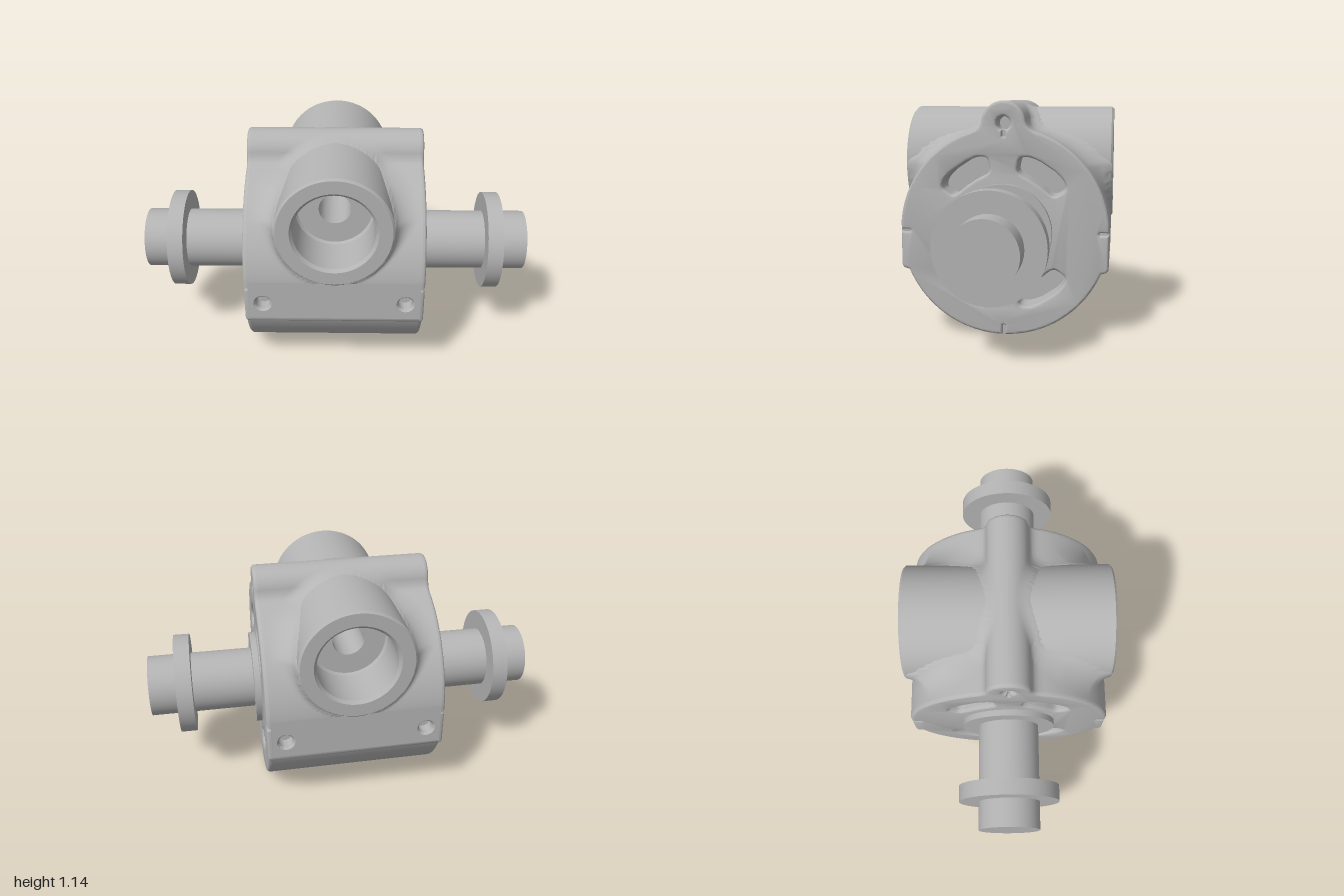
import * as THREE from 'three';
import { toCreasedNormals } from 'three/addons/utils/BufferGeometryUtils.js';

const CY = 0.51, R = 0.51;          // housing axis height and radius
const PY = 0.825, PR = 0.285;       // port axis height and radius
const FLAT = 0.508, Y0 = 0.345, Y1 = 0.55; // side flats
const END = 0.42;                   // where the rounded end caps begin

const metal = new THREE.MeshStandardMaterial({ color: 0xb4b4b4, side: THREE.DoubleSide });
metal.name = 'castMetal';

function mesh(name, geometry) {
  const m = new THREE.Mesh(geometry, metal);
  m.name = name;
  return m;
}

// Arc points in the (z, y) plane, angles in degrees
function arc(cy, r, a0, a1, n) {
  return Array.from({ length: n + 1 }, (_, i) => {
    const a = THREE.MathUtils.degToRad(a0 + ((a1 - a0) * i) / n);
    return [r * Math.cos(a), cy + r * Math.sin(a)];
  });
}
const mirrored = (pts) => pts.map(([z, y]) => [-z, y]).reverse();
const vectors = (pts) => pts.map(([z, y]) => new THREE.Vector2(z, y));

// Half of the housing outline: drum, stepped flat, drum, top lug
const lowerHalf = [...arc(CY, R, -89, -22.5, 34), [0.482, 0.317], [0.498, 0.323], [0.506, 0.333], [FLAT, Y0]];
const upperHalf = [[FLAT, Y1], ...arc(CY, R, 5.5, 71, 44), [0.143, 1.0], [0.124, 1.012], [0.113, 1.028],
  ...arc(1.035, 0.107, 6, 88, 14)];
const outline = [[0, 0], ...lowerHalf, ...upperHalf, [0, 1.142], ...mirrored(upperHalf), ...mirrored(lowerHalf)];

// The same outline with alignment notches at the bottom and both sides
const notch = [[FLAT, 0.504], [0.464, 0.504], [0.46, 0.51], [0.464, 0.516], [FLAT, 0.516]];
const notchedHalf = [[0.006, 0.046], [0.006, 0.0005], ...lowerHalf.slice(1), ...notch, ...upperHalf];
const notchedOutline = [[0, 0.05], ...notchedHalf, [0, 1.142], ...mirrored(notchedHalf)];

// Rounded kidney slot following the drum
function slot(midDeg) {
  const soft = (v) => Math.sign(v) * Math.sqrt(Math.abs(v));
  return Array.from({ length: 40 }, (_, i) => {
    const t = ((i + 0.5) / 40) * Math.PI * 2;
    const a = THREE.MathUtils.degToRad(midDeg + 21.5 * soft(Math.sin(t)));
    const r = 0.337 + 0.05 * soft(Math.cos(t));
    return [r * Math.cos(a), CY + r * Math.sin(a)];
  });
}
const slots = [56.5, 123.5, 236.5, 303.5].map(slot);
const lugHole = arc(1.035, 0.033, 0, 350, 35);
const keyhole = [...arc(1.035, 0.033, -79, 259, 32), [-0.006, 0.974], [0, 0.97], [0.006, 0.974]];

function shapeWith(pts, holes = []) {
  const s = new THREE.Shape(vectors(pts));
  s.holes = holes.map((h) => new THREE.Path(vectors(h)));
  return s;
}

// Sweep (z, y) points along x; warp moves a point, skip drops cells
function sweep(pts, x0, x1, n = 1, warp = null, skip = null) {
  const pos = [], index = [];
  pts.forEach(([z, y]) => {
    for (let j = 0; j <= n; j++) {
      const x = x0 + ((x1 - x0) * j) / n;
      pos.push(x, y, warp ? warp(x, y, z) : z);
    }
  });
  for (let i = 0; i < pts.length - 1; i++) for (let j = 0; j < n; j++) {
    const a = i * (n + 1) + j, b = a + 1, d = a + n + 1, c = d + 1;
    if (skip && [a, b, c, d].some((k) => skip(pos[k * 3], pos[k * 3 + 1]))) continue;
    index.push(a, b, c, a, c, d);
  }
  const g = new THREE.BufferGeometry();
  g.setAttribute('position', new THREE.Float32BufferAttribute(pos, 3));
  g.setIndex(index);
  g.computeVertexNormals();
  return g;
}

// Concave fillet where the port grows out of the drum
function fillet(x, y, z) {
  const h = Math.abs(z);
  const f = Math.min(0.12, 0.515 - h, h * 0.5);
  const e = Math.max(0, Math.hypot(x, y - PY) - PR);
  if (f <= 0 || e >= f) return z;
  return Math.sign(z) * (h + f - Math.sqrt(f * f - (f - e) ** 2));
}

const flatAt = (shape, x) => new THREE.ShapeGeometry(shape).rotateY(Math.PI / 2).translate(x, 0, 0);

// Pocket walls and floor opening toward +x
function pocket(name, pts, floorX) {
  const g = new THREE.Group();
  g.name = name;
  const loop = [...pts, pts[0]].reverse();
  g.add(mesh('pocketWall', sweep(loop, floorX, END)), mesh('pocketFloor', flatAt(shapeWith(pts), floorX)));
  return g;
}

function disc(name, r, x0, x1) {
  const g = new THREE.CylinderGeometry(r, r, x1 - x0, 72).rotateZ(-Math.PI / 2);
  return mesh(name, g.translate((x0 + x1) / 2, CY, 0));
}

// One end of the pump: cap, pockets, collar and shaft
function createEnd(name) {
  const g = new THREE.Group();
  g.name = name;
  const cap = new THREE.ExtrudeGeometry(shapeWith(notchedOutline, [...slots, keyhole]), {
    depth: 0.004, bevelThickness: 0.018, bevelSize: 0.014, bevelOffset: -0.014, bevelSegments: 4,
  }).rotateY(Math.PI / 2).translate(0.418, 0, 0);
  g.add(mesh('endCap', toCreasedNormals(cap, 0.5)));
  g.add(mesh('notchFloor', flatAt(shapeWith(outline, [...slots, lugHole]), END)));
  slots.forEach((s) => g.add(pocket('kidneyPocket', s, 0.3)));
  g.add(pocket('lugHole', lugHole, 0.32));
  g.add(disc('collar', 0.237, 0.42, 0.47), disc('shaft', 0.155, 0.42, 1), disc('shaftFlange', 0.255, 0.78, 0.86));
  return g;
}

// Flat side pad with two screw holes
function createPad(name) {
  const g = new THREE.Group();
  g.name = name;
  const rect = [[-END, Y0], [END, Y0], [END, Y1], [-END, Y1]];
  const holes = [-0.35, 0.35].map((x) => arc(0.43, 0.045, 0, 350, 35).map(([u, v]) => [u + x, v]));
  g.add(mesh('padFace', new THREE.ShapeGeometry(shapeWith(rect, holes)).translate(0, 0, FLAT)));
  const profile = vectors([[0, -0.07], [0.036, -0.07], [0.036, -0.01], [0.045, 0]]);
  for (const x of [-0.35, 0.35]) {
    const hole = new THREE.LatheGeometry(profile.slice().reverse(), 36).rotateX(Math.PI / 2);
    g.add(mesh('screwHole', toCreasedNormals(hole, 0.5).translate(x, 0.43, FLAT)));
  }
  return g;
}

export function createModel() {
  const model = new THREE.Group();
  model.name = 'rotaryPump';

  // Housing skin, open where the ports pass through
  const upper = [...upperHalf, [0, 1.142], ...mirrored(upperHalf)];
  const lower = [...mirrored(lowerHalf), [0, 0], ...lowerHalf];
  const insidePort = (x, y) => Math.hypot(x, y - PY) < 0.24;
  model.add(mesh('housingTop', sweep(upper, -END, END, 80, fillet, insidePort)));
  model.add(mesh('housingBottom', sweep(lower, -END, END)));

  // Front and back ports with counterbores and a through hole
  const half = [[0.275, 0.518], [0.21, 0.518], [0.196, 0.503], [0.196, 0.272], [0.186, 0.26], [0.08, 0.26]];
  const back = half.map(([r, z]) => [r, -z]).reverse();
  const profile = [[0.275, -0.518], [0.285, -0.508], [0.285, 0.508], ...half, ...back];
  const port = new THREE.LatheGeometry(vectors(profile), 80).rotateX(Math.PI / 2);
  model.add(mesh('port', toCreasedNormals(port, 0.5).translate(0, PY, 0)));

  // Paired parts
  const rightEnd = createEnd('rightEnd');
  const backPad = createPad('backPad');
  rightEnd.rotation.y = backPad.rotation.y = Math.PI;
  model.add(createEnd('leftEnd'), rightEnd, createPad('frontPad'), backPad);
  return model;
}
